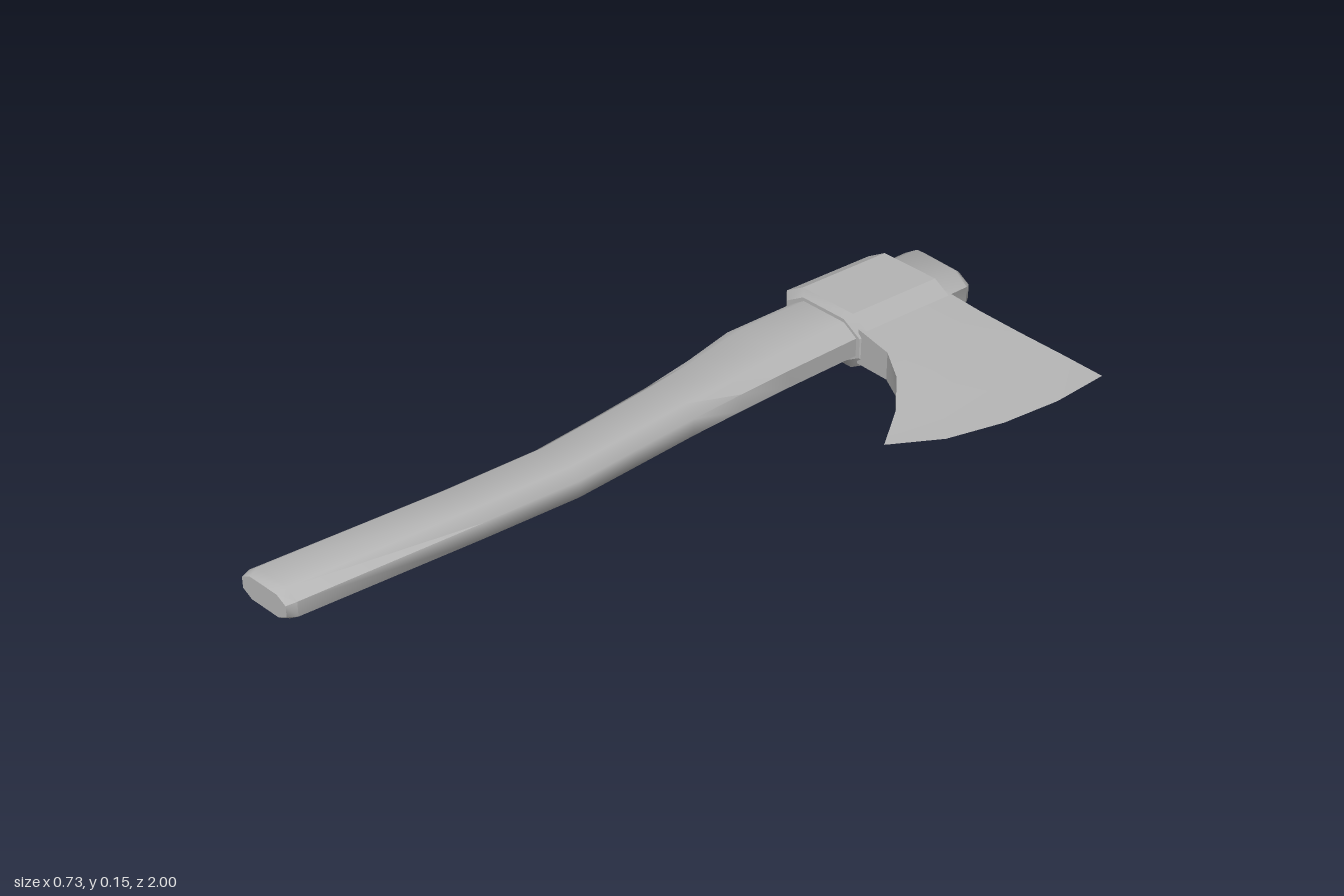
import * as THREE from 'three';
import { toCreasedNormals } from 'three/addons/utils/BufferGeometryUtils.js';

// Skin a list of equal-length cross-section loops and close both ends.
function loft(loops, crease) {
  const n = loops[0].length, index = [], last = (loops.length - 1) * n;
  for (let i = 0; i < loops.length - 1; i++) {
    for (let j = 0; j < n; j++) {
      const k = (j + 1) % n;
      const a = i * n + j, b = i * n + k, c = b + n, d = a + n;
      index.push(a, b, c, a, c, d);
    }
  }
  for (let j = 1; j < n - 1; j++) {
    index.push(0, j + 1, j, last, last + j, last + j + 1);
  }
  const geo = new THREE.BufferGeometry();
  geo.setAttribute('position', new THREE.Float32BufferAttribute(loops.flat(2), 3));
  geo.setIndex(index);
  return toCreasedNormals(geo, crease);
}

// Chamfered rectangle in the xy plane, z skewed by slope across x.
function octagon(x0, x1, y0, y1, cx, cy, z, slope) {
  const mid = (x0 + x1) / 2;
  return [
    [x1, y0 + cy], [x1, y1 - cy], [x1 - cx, y1], [x0 + cx, y1],
    [x0, y1 - cy], [x0, y0 + cy], [x0 + cx, y0], [x1 - cx, y0],
  ].map(([x, y]) => [x, y, z + slope * (x - mid)]);
}

export function createModel() {
  const group = new THREE.Group();
  const grey = new THREE.MeshStandardMaterial({ color: 0xb4b4b4 });
  const add = (name, geo) => {
    const mesh = new THREE.Mesh(geo, grey);
    mesh.name = name;
    group.add(mesh);
  };

  // Curved handle: z, left x, right x, end inset, end slant
  const stations = [
    [-1.0, -0.322, -0.128, 0.014, 0],
    [-0.98, -0.335, -0.115, 0, 0],
    [-0.6, -0.333, -0.112, 0, 0],
    [-0.4, -0.333, -0.108, 0, 0],
    [-0.25, -0.296, -0.102, 0, 0],
    [-0.1, -0.268, -0.094, 0, 0],
    [0.08, -0.244, -0.079, 0, 0],
    [0.25, -0.225, -0.065, 0, 0],
    [0.5, -0.23, -0.073, 0, 0],
    [0.97, -0.256, -0.095, 0, -0.1],
    [0.993, -0.25, -0.103, 0.01, -0.1],
  ];
  add('handle', loft(stations.map(([z, x0, x1, inset, slope]) => {
    const t = (z + 1) / 2;
    const y0 = THREE.MathUtils.lerp(0.031, 0.012, t) + inset;
    const y1 = THREE.MathUtils.lerp(0.136, 0.091, t) - inset;
    return octagon(x0, x1, y0, y1, (x1 - x0) * 0.19, (y1 - y0) * 0.26, z, slope);
  }), 0.95));

  // Collar of the head, with bevelled rims
  const collarLoop = (z, inset) =>
    octagon(-0.365 + inset, -0.085 - inset, 0.004 + inset, 0.152 - inset, 0.055, 0.032, z, -0.05);
  add('collar', loft([
    collarLoop(-0.903, 0.016), collarLoop(-0.89, 0),
    collarLoop(-0.622, 0), collarLoop(-0.608, 0.016),
  ], 0.4));

  // Wedge blade: back edge, beard edge and cutting edge as [x, z]
  const back = [[-0.11, -0.905], [0, -0.914], [0.12, -0.93], [0.24, -0.95], [0.35, -0.97]];
  const beard = [[-0.11, -0.618], [0, -0.61], [0.08, -0.565], [0.17, -0.48], [0.245, -0.375]];
  const cutting = [[0.35, -0.97], [0.362, -0.81], [0.35, -0.65], [0.315, -0.5], [0.245, -0.375]];
  const half = [0.047, 0.037, 0.026, 0.014, 0];
  const mix = THREE.MathUtils.lerp;
  add('blade', loft(half.map((h, s) => {
    const row = cutting.map(([ex, ez], v) => {
      const t = v / 4, bulge = s / 4;
      return [
        mix(back[s][0], beard[s][0], t) + bulge * (ex - mix(0.35, 0.245, t)),
        mix(back[s][1], beard[s][1], t) + bulge * (ez - mix(-0.97, -0.375, t)),
      ];
    });
    return [
      ...row.map(([x, z]) => [x, 0.079 + h, z]),
      ...row.reverse().map(([x, z]) => [x, 0.079 - h, z]),
    ];
  }), 0.4));

  return group;
}
